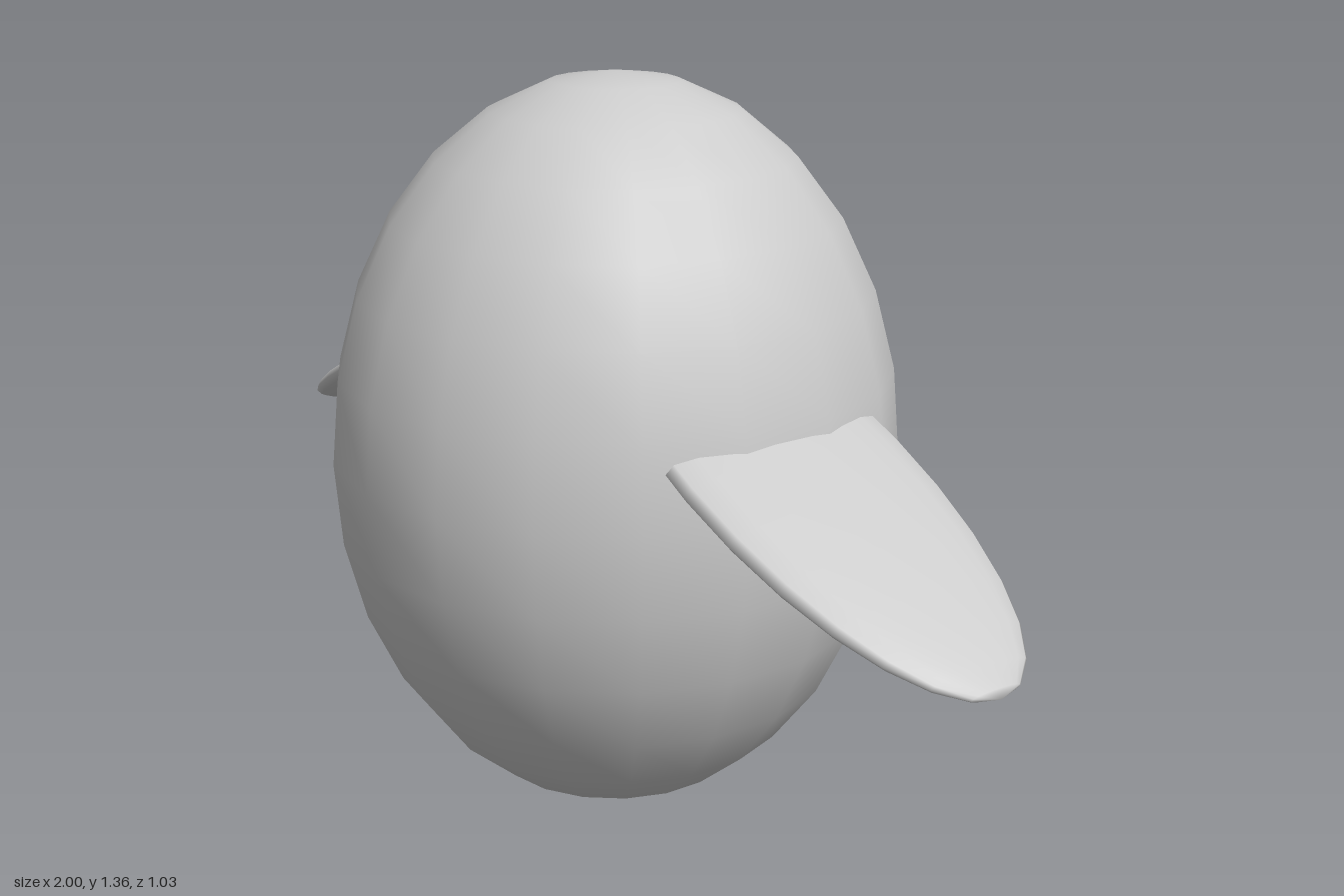
import * as THREE from 'three';

export function createModel() {
  const model = new THREE.Group();
  const grey = new THREE.MeshStandardMaterial({ color: 0xcccccc });
  grey.name = 'light grey';

  // Ellipsoid with its facet corners on the front and back
  const ellipsoid = (name, rx, ry, rz) => {
    const geometry = new THREE.SphereGeometry(1, 18, 14)
      .rotateY(Math.PI / 2)
      .scale(rx, ry, rz);
    const mesh = new THREE.Mesh(geometry, grey);
    mesh.name = name;
    model.add(mesh);
    return mesh;
  };

  // Egg-shaped body
  ellipsoid('body', 0.512, 0.678, 0.517).position.set(0.013, 0.68, 0);

  // Flat flippers, drooping outwards, with their inner halves in the body
  for (const side of [1, -1]) {
    const flipper = ellipsoid(side > 0 ? 'leftFlipper' : 'rightFlipper', 0.045, 0.54, 0.232);
    flipper.position.set(side * 0.51, 0.76, -0.01);
    flipper.rotation.z = side * THREE.MathUtils.degToRad(65);
  }

  return model;
}
